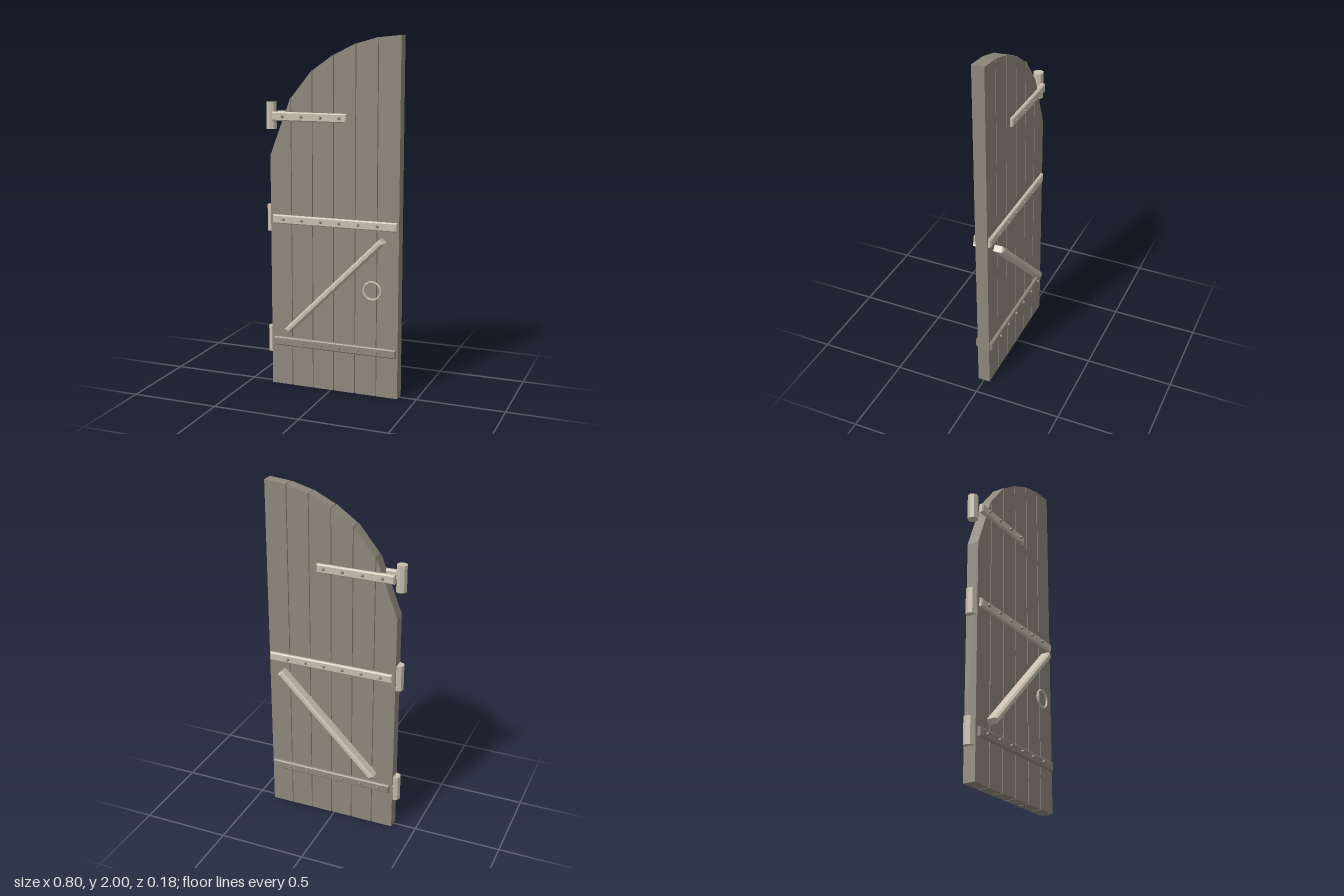
import * as THREE from 'three';

const material = (name, color) => {
  const m = new THREE.MeshStandardMaterial({ color, flatShading: true });
  m.name = name;
  return m;
};

// Box with chamfered edges, centred on its origin
function chamferBox(w, h, d, b) {
  const x = w / 2 - b, y = h / 2 - b;
  const shape = new THREE.Shape([[-x, -y], [x, -y], [x, y], [-x, y]].map(p => new THREE.Vector2(...p)));
  const geo = new THREE.ExtrudeGeometry(shape, {
    depth: d - 2 * b, bevelEnabled: true, bevelThickness: b, bevelSize: b, bevelSegments: 1,
  });
  return geo.translate(0, 0, b - d / 2);
}

export function createModel() {
  const door = new THREE.Group();
  door.name = 'archedDoor';
  const wood = material('weathered wood', 0x8e887c);
  const iron = material('pale iron', 0xc8bfaf);
  const darkIron = material('dull iron', 0x8f897d);

  const add = (parent, name, geo, mat, x, y, z) => {
    const mesh = new THREE.Mesh(geo, mat);
    mesh.name = name;
    mesh.position.set(x, y, z);
    parent.add(mesh);
    return mesh;
  };

  // Six upright planks whose tops follow the arch
  const edges = [-0.362, -0.235, -0.108, 0.018, 0.145, 0.272, 0.397];
  const tops = [1.335, 1.66, 1.81, 1.895, 1.955, 1.988, 2.0];
  const planks = new THREE.Group();
  planks.name = 'planks';
  for (let i = 0; i < 6; i++) {
    const a = edges[i] + (i ? 0.0025 : 0), b = edges[i + 1] - (i < 5 ? 0.0025 : 0);
    const shape = new THREE.Shape([
      new THREE.Vector2(a, 0), new THREE.Vector2(b, 0),
      new THREE.Vector2(b, tops[i + 1]), new THREE.Vector2(a, tops[i]),
    ]);
    add(planks, 'plank', new THREE.ExtrudeGeometry(shape, { depth: 0.07, bevelEnabled: false }), wood, 0, 0, -0.035);
  }
  door.add(planks);

  // Hinge straps on both faces, with rivets and barrels
  const rivetX = [-0.28, -0.168, -0.055, 0.055, 0.166, 0.277];
  const rivetGeo = new THREE.CylinderGeometry(0.006, 0.01, 0.012, 8).rotateX(Math.PI / 2);
  const barrelGeo = new THREE.CylinderGeometry(0.03, 0.03, 0.15, 8);
  const straps = [
    { y: 1.555, end: 0.097, rivets: 4, mat: iron },
    { y: 0.976, end: 0.389, rivets: 6, mat: iron },
    { y: 0.261, end: 0.389, rivets: 6, mat: darkIron },
  ];
  for (const { y, end, rivets, mat } of straps) {
    const hinge = new THREE.Group();
    hinge.name = 'hinge';
    const geo = chamferBox(end + 0.345, 0.05, 0.03, 0.006);
    for (const side of [1, -1]) {
      add(hinge, 'strap', geo, mat, (end - 0.345) / 2, y, side * 0.037);
      for (const x of rivetX.slice(0, rivets)) {
        const rivet = add(hinge, 'rivet', rivetGeo, darkIron, x, y, side * 0.057);
        if (side < 0) rivet.rotation.y = Math.PI;
      }
    }
    add(hinge, 'barrel', barrelGeo, iron, -0.368, y, 0);
    door.add(hinge);
  }

  // Diagonal brace standing proud of both faces
  const brace = add(door, 'diagonalBrace', chamferBox(0.8, 0.036, 0.184, 0.01), iron, 0.032, 0.618, 0);
  brace.rotation.z = Math.PI / 4;

  // Pull ring on the front
  add(door, 'pullRing', new THREE.TorusGeometry(0.05, 0.006, 6, 20), iron, 0.255, 0.617, 0.063);

  return door;
}
